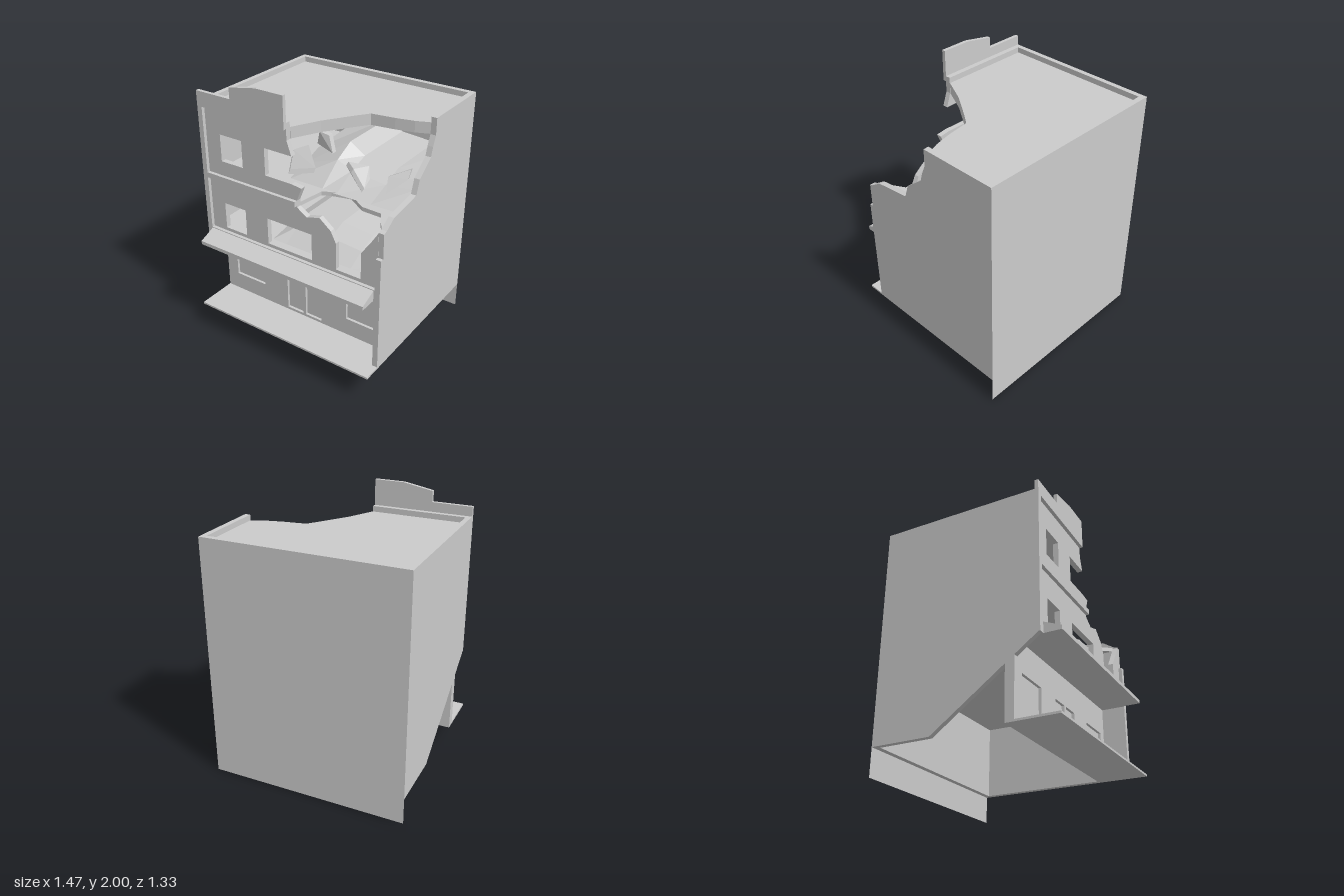
import * as THREE from 'three';
import { ConvexGeometry } from 'three/addons/geometries/ConvexGeometry.js';

const W = 0.737, IN = 0.7, BACK = -0.667;

export function createModel() {
  const group = new THREE.Group();
  const mat = new THREE.MeshStandardMaterial({ color: 0xcccccc, flatShading: true, side: THREE.DoubleSide });

  const add = (name, geo) => {
    const mesh = new THREE.Mesh(geo, mat);
    mesh.name = name;
    group.add(mesh);
    return mesh;
  };
  const box = (name, x0, x1, y0, y1, z0, z1) =>
    add(name, new THREE.BoxGeometry(x1 - x0, y1 - y0, z1 - z0)
      .translate((x0 + x1) / 2, (y0 + y1) / 2, (z0 + z1) / 2));
  const poly = (pts, holes = []) => {
    const shape = new THREE.Shape(pts.map(p => new THREE.Vector2(...p)));
    for (const [x0, x1, y0, y1] of holes) {
      shape.holes.push(new THREE.Path([[x0, y0], [x0, y1], [x1, y1], [x1, y0]].map(p => new THREE.Vector2(...p))));
    }
    return shape;
  };
  const extrude = (shape, depth) => new THREE.ExtrudeGeometry(shape, { depth, bevelEnabled: false });
  // outline in (x, y), spanning z0..z1
  const front = (name, pts, z0, z1, holes) => add(name, extrude(poly(pts, holes), z1 - z0).translate(0, 0, z0));
  // outline in (z, y), spanning x0..x1
  const side = (name, pts, x0, x1) => add(name, extrude(poly(pts), x1 - x0).rotateY(-Math.PI / 2).translate(x1, 0, 0));
  // outline in (x, z), spanning y0..y1
  const slab = (name, pts, y0, y1) => add(name, extrude(poly(pts), y1 - y0).rotateX(Math.PI / 2).translate(0, y1, 0));

  // back wall: solid above, thin skirt down to the ground
  box('backWall', -W, W, 0.2, 1.81, BACK, -0.627);
  add('backSkirt', new THREE.PlaneGeometry(2 * W, 0.2).rotateY(Math.PI).translate(0, 0.1, BACK));

  // left-hand wall with its cut lower corner, right-hand wall with its broken edge
  side('intactSideWall', [[BACK, 0.2], [-0.23, 0.2], [0.53, 0.75], [0.515, 1.81], [BACK, 1.81]], -W, -IN);
  side('brokenSideWall', [
    [BACK, 0.2], [0.542, 0.2], [0.542, 1.07], [0.515, 1.07], [0.515, 1.25], [0.485, 1.26], [0.4, 1.315],
    [0.16, 1.345], [0.125, 1.35], [0.09, 1.45], [-0.045, 1.555], [-0.065, 1.62], [-0.095, 1.69], [-0.095, 1.81], [BACK, 1.81],
  ], IN - 0.003, W);

  // roof and upper floors
  slab('roof', [
    [-IN, -0.627], [IN, -0.627], [IN, -0.1], [0.6, -0.06], [0.47, -0.03], [0.3, -0.005],
    [0.23, 0.09], [0.1, 0.28], [0, 0.475], [-IN, 0.475],
  ], 1.69, 1.77);
  slab('thirdFloor', [
    [-IN, -0.627], [IN, -0.627], [IN, 0.48], [0.64, 0.4], [0.59, 0.31], [0.44, 0.305],
    [0.3, 0.215], [0.16, 0.25], [0.1, 0.28], [0.07, 0.48], [-IN, 0.48],
  ], 1.225, 1.255);
  slab('secondFloor', [[-IN, -0.627], [IN, -0.627], [IN, 0.515], [-IN, 0.515]], 0.75, 0.84);

  // upper facade with window openings and a collapsed corner
  front('facade', [
    [-W, 0.75], [IN, 0.75], [IN, 1.25], [0.65, 1.17], [0.575, 1.06], [0.575, 0.86], [0.38, 0.86], [0.38, 1.06],
    [0.34, 1.14], [0.25, 1.21], [0.15, 1.18], [0.07, 1.23], [0.07, 1.28], [0.11, 1.38], [0.03, 1.39],
    [-0.19, 1.39], [-0.19, 1.59], [0.035, 1.59], [0, 1.69], [0, 1.81], [-W, 1.81],
  ], 0.478, 0.517, [[-0.575, -0.385, 0.86, 1.06], [-0.19, 0.185, 0.86, 1.06], [-0.575, -0.385, 1.39, 1.59]]);

  // raised trim around the facade panels
  box('cornerTrim', -W, -IN + 0.002, 0.75, 1.78, 0.515, 0.542);
  box('floorBand', -IN, 0.07, 1.24, 1.28, 0.515, 0.542);
  box('lowerBand', -W, W, 0.75, 0.835, 0.515, 0.542);
  front('parapet', [[-W, 1.77], [0, 1.77], [0, 2], [-0.22, 2], [-0.44, 1.96], [-0.44, 1.88], [-W, 1.88]], 0.515, 0.542);

  // awning and pavement
  side('awning', [[0.54, 0.75], [0.667, 0.75], [0.667, 0.777], [0.54, 0.83]], -0.695, 0.69);
  box('pavement', -W, W, 0.2, 0.215, 0.36, 0.667);

  // recessed shopfront with sunken doors and windows
  const openings = [
    ['shopWindow', -0.64, -0.37, 0.35, 0.545], ['shopWindow', 0.365, 0.635, 0.35, 0.545],
    ['door', -0.155, -0.015, 0.235, 0.545], ['door', 0.01, 0.15, 0.235, 0.545],
  ];
  front('shopfront', [[-W, 0.2], [IN, 0.2], [IN, 0.75], [-W, 0.75]], 0.3, 0.365, openings.map(o => o.slice(1)));
  for (const [name, x0, x1, y0, y1] of openings) box(name, x0, x1, y0, y1, 0.32, 0.345);

  // rubble slopes: heights given per row (z) and column (x)
  const rubble = (name, xs, zs, rows) => {
    const geo = new THREE.PlaneGeometry(1, 1, xs.length - 1, zs.length - 1);
    const pos = geo.attributes.position;
    zs.forEach((z, j) => xs.forEach((x, i) => pos.setXYZ(j * xs.length + i, x, rows[j][i], z)));
    geo.computeVertexNormals();
    add(name, geo);
  };
  rubble('upperRubble', [-0.2, 0.08, 0.2, 0.47, IN], [-0.62, -0.1, 0.06, 0.25], [
    [1.4, 1.48, 1.4, 1.38, 1.4],
    [1.36, 1.48, 1.4, 1.38, 1.39],
    [1.3, 1.4, 1.35, 1.32, 1.35],
    [1.25, 1.25, 1.25, 1.255, 1.26],
  ]);
  rubble('lowerRubble', [-0.22, -0.1, 0.19, 0.44, IN], [-0.62, 0.15, 0.3, 0.43], [
    [0.9, 0.97, 0.985, 0.96, 0.92],
    [0.9, 0.97, 0.985, 0.96, 0.92],
    [0.86, 0.92, 0.93, 0.91, 0.89],
    [0.84, 0.84, 0.84, 0.84, 0.84],
  ]);

  // fallen chunks of masonry: a polygon thickened along an offset
  const chunk = (pts, offset) => {
    const base = pts.map(p => new THREE.Vector3(...p));
    const off = new THREE.Vector3(...offset);
    add('fallenChunk', new ConvexGeometry([...base, ...base.map(p => p.clone().add(off))]));
  };
  chunk([[0.17, 1.41, 0.06], [0.25, 1.4, 0.12], [0.37, 1.31, 0.17], [0.35, 1.33, 0.07], [0.3, 1.39, 0]], [-0.01, -0.025, 0.015]);
  chunk([[0.47, 1.37, 0.02], [0.6, 1.43, -0.06], [0.61, 1.38, 0], [0.51, 1.29, 0.11]], [0.01, 0.01, 0.03]);
  chunk([[-0.19, 1.46, 0.2], [-0.1, 1.5, 0.15], [-0.07, 1.43, 0.2], [0.03, 1.4, 0.25], [-0.15, 1.36, 0.3]], [0, -0.03, 0.02]);
  chunk([[-0.09, 1.48, 0.02], [-0.05, 1.59, 0.05], [0.03, 1.58, 0.05], [0.08, 1.47, 0.08]], [0, 0, 0.04]);

  return group;
}
